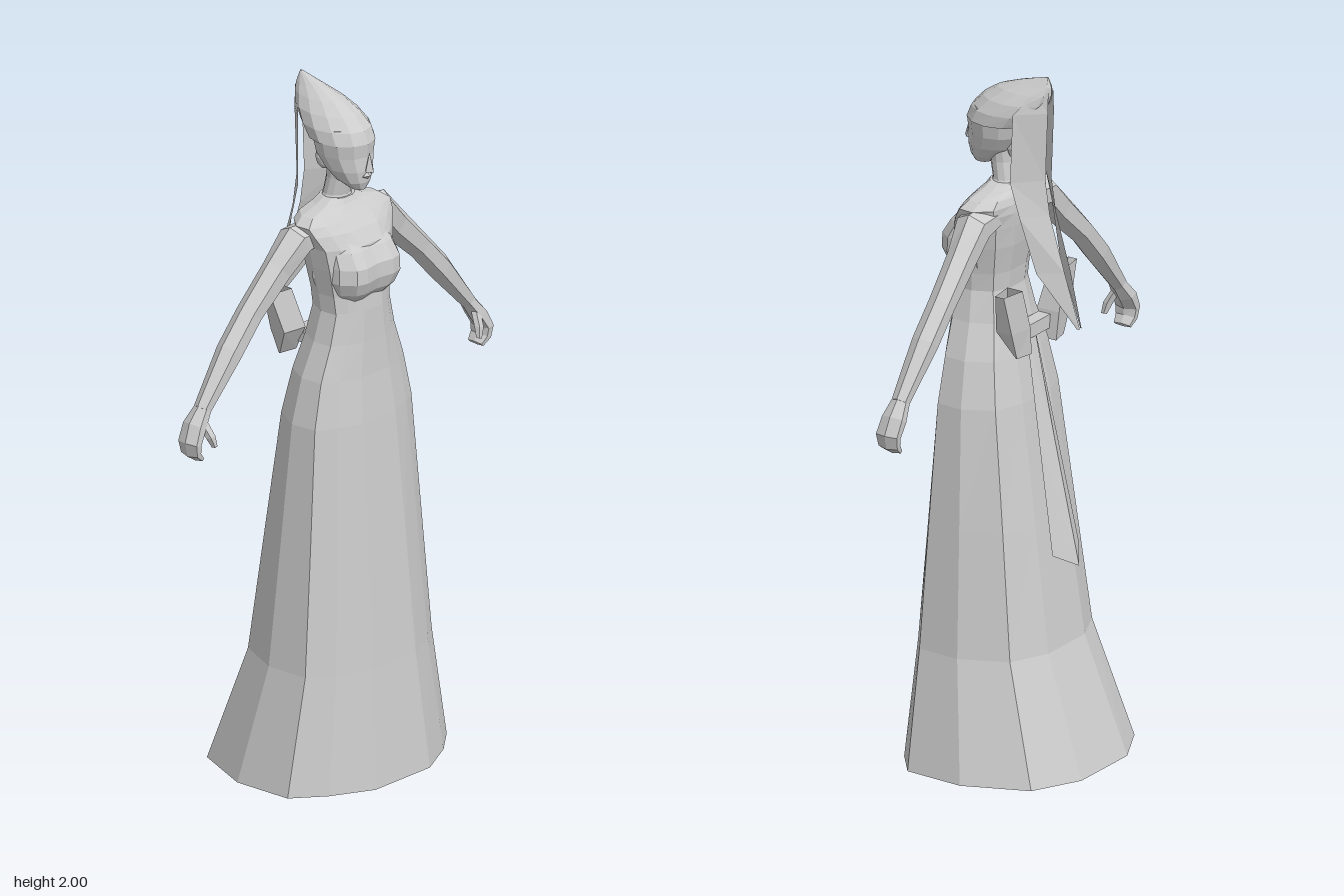
import * as THREE from 'three';

const V = (x, y, z) => new THREE.Vector3(x, y, z);

// Faceted geometry from a list of triangles
function fromTriangles(tris) {
  const g = new THREE.BufferGeometry().setFromPoints(tris.flat());
  g.computeVertexNormals();
  return g;
}

// Skin between rings of equal length; lofts are turned outward by their signed volume
function loft(rings, capStart = true, capEnd = true) {
  const tris = [], n = rings[0].length;
  const center = r => r.reduce((s, p) => s.add(p), V(0, 0, 0)).divideScalar(n);
  const c0 = center(rings[0]), c1 = center(rings[rings.length - 1]);
  const caps = [];
  for (let j = 0; j < n; j++) {
    const k = (j + 1) % n;
    for (let i = 0; i + 1 < rings.length; i++) {
      const a = rings[i], b = rings[i + 1];
      tris.push([a[j], a[k], b[k]], [a[j], b[k], b[j]]);
    }
    const last = rings[rings.length - 1];
    caps.push([[c0, rings[0][k], rings[0][j]], capStart], [[c1, last[j], last[k]], capEnd]);
  }
  let volume = 0;
  for (const t of [...tris, ...caps.map(c => c[0])]) volume += t[0].dot(V(0, 0, 0).crossVectors(t[1], t[2]));
  const all = [...tris, ...caps.filter(c => c[1]).map(c => c[0])];
  return fromTriangles(volume < 0 ? all.map(t => [t[0], t[2], t[1]]) : all);
}

// Outlines seen from above: gown, bust and head
const mirrored = half => [...half, ...half.map(([x, z]) => [-x, z]).reverse()];
const gownRing = mirrored([[0.33, 1], [0.7, 0.78], [0.97, 0.53], [1, -0.1], [0.77, -0.75], [0.34, -1]]);
const bustRing = mirrored([[0.06, 0.9], [0.42, 1], [0.7, 0.88], [0.95, 0.35], [1, -1]]);
const roundRing = Array.from({ length: 12 }, (_, i) => [Math.sin(i * Math.PI / 6), Math.cos(i * Math.PI / 6)]);

// Horizontal sections: [y, half width, front z, back z]
const sections = (rows, ring) => rows.map(([y, w, f, b]) =>
  ring.map(([x, z]) => V(x * w, y, (f + b) / 2 + z * (f - b) / 2)));

// Limb along a path of [x, y, z, radius along ref, radius across], on side s
function limb(path, ref, s, n = 6) {
  const pts = path.map(p => V(p[0] * s, p[1], p[2]));
  return loft(path.map((p, i) => {
    const t = pts[Math.min(i + 1, pts.length - 1)].clone().sub(pts[Math.max(i - 1, 0)]);
    const across = t.cross(ref).normalize();
    return Array.from({ length: n }, (_, j) => {
      const a = (j + 0.5) / n * Math.PI * 2;
      return pts[i].clone().addScaledVector(ref, p[3] * Math.cos(a)).addScaledVector(across, p[4] * Math.sin(a));
    });
  }));
}

// Open cloth panel with rows [y, inner x, inner z, outer x, outer z, outer y], on side s
function panel(rows, s) {
  const tris = [];
  const edge = ([y, xi, zi, xo, zo, yo = y]) => [V(xi * s, y, zi), V(xo * s, yo, zo)];
  for (let i = 0; i + 1 < rows.length; i++) {
    const [a, b] = edge(rows[i]), [c, d] = edge(rows[i + 1]);
    tris.push(...(s > 0 ? [[a, c, b], [b, c, d]] : [[a, b, c], [b, d, c]]));
  }
  return fromTriangles(tris);
}

export function createModel() {
  const model = new THREE.Group();
  const grey = new THREE.MeshStandardMaterial({ color: 0xcccccc, flatShading: true, side: THREE.DoubleSide });
  grey.name = 'pale grey';
  const add = (name, geometry) => {
    const m = new THREE.Mesh(geometry, grey);
    m.name = name;
    model.add(m);
    return m;
  };
  const X = V(1, 0, 0), Z = V(0, 0, 1);

  // Long gown, open at the hem
  add('skirt', loft(sections([
    [0, 0.33, 0.285, -0.285], [0.34, 0.262, 0.253, -0.16], [0.7, 0.23, 0.225, -0.11],
    [1.05, 0.2, 0.196, -0.06], [1.18, 0.17, 0.183, -0.035], [1.28, 0.132, 0.178, -0.012],
    [1.37, 0.11, 0.175, 0.005]], gownRing), false, false));

  // Bodice, bust, shoulders and neck
  add('torso', loft(sections([
    [1.36, 0.11, 0.175, 0.005], [1.42, 0.115, 0.17, 0], [1.5, 0.13, 0.172, -0.015],
    [1.56, 0.14, 0.166, -0.022], [1.6, 0.16, 0.14, -0.024], [1.625, 0.168, 0.118, -0.022],
    [1.645, 0.14, 0.1, -0.018], [1.66, 0.08, 0.088, -0.012], [1.675, 0.05, 0.08, -0.005]], gownRing)));
  add('bust', loft(sections([
    [1.4, 0.085, 0.165, 0.06], [1.428, 0.108, 0.19, 0.06], [1.465, 0.123, 0.204, 0.06],
    [1.508, 0.122, 0.202, 0.06], [1.55, 0.115, 0.176, 0.05], [1.6, 0.09, 0.13, 0.04]], bustRing)));
  add('neck', loft(sections([
    [1.65, 0.06, 0.085, -0.01], [1.68, 0.042, 0.075, 0], [1.73, 0.037, 0.085, 0.01],
    [1.78, 0.04, 0.09, 0.01]], roundRing)));

  // Head and face
  add('head', loft(sections([
    [1.712, 0.02, 0.14, 0.09], [1.735, 0.045, 0.149, 0.05], [1.77, 0.064, 0.153, 0.01],
    [1.81, 0.077, 0.15, -0.02], [1.85, 0.084, 0.154, -0.03], [1.89, 0.08, 0.135, -0.04]], roundRing)));
  add('nose', new THREE.ConeGeometry(0.016, 0.055, 4)).position.set(0, 1.8, 0.16);
  const lips = add('lips', new THREE.OctahedronGeometry(1));
  lips.scale.set(0.02, 0.01, 0.01);
  lips.position.set(0, 1.757, 0.152);
  const bun = add('hairBun', new THREE.IcosahedronGeometry(1, 1));
  bun.scale.set(0.035, 0.04, 0.03);
  bun.position.set(0, 1.775, 0);

  // Pointed hood leaning back
  add('hood', loft(sections([
    [1.85, 0.088, 0.155, -0.045], [1.885, 0.086, 0.142, -0.075], [1.92, 0.071, 0.108, -0.1],
    [1.95, 0.048, 0.062, -0.11], [1.973, 0.026, 0, -0.11], [2, 0.003, -0.09, -0.1]], roundRing)));

  for (const s of [1, -1]) {
    const side = s > 0 ? 'left' : 'right';

    // Arm, hand and thumb
    add(side + 'Arm', limb([
      [0.08, 1.595, 0.04, 0.055, 0.03], [0.165, 1.582, 0.037, 0.052, 0.05], [0.235, 1.511, 0.03, 0.041, 0.046],
      [0.34, 1.412, 0.025, 0.038, 0.038], [0.42, 1.325, 0.026, 0.038, 0.038],
      [0.535, 1.188, 0.03, 0.026, 0.023]], Z, s));
    add(side + 'Hand', limb([
      [0.53, 1.193, 0.03, 0.026, 0.021], [0.565, 1.148, 0.03, 0.038, 0.025], [0.588, 1.105, 0.034, 0.04, 0.02],
      [0.583, 1.075, 0.034, 0.036, 0.016], [0.562, 1.055, 0.034, 0.03, 0.009]], Z, s));
    add(side + 'Thumb', limb([
      [0.55, 1.16, 0.045, 0.013, 0.016], [0.54, 1.12, 0.066, 0.014, 0.014],
      [0.532, 1.09, 0.074, 0.009, 0.008]], Z, s, 5));

    // Half of the veil hanging from the hood
    add(side + 'Veil', panel([
      [1.96, 0.012, -0.108, 0.03, -0.08], [1.9, 0.015, -0.108, 0.08, -0.035], [1.7, 0.015, -0.1, 0.085, -0.03],
      [1.6, 0.015, -0.115, 0.08, -0.058], [1.44, 0.014, -0.163, 0.06, -0.1], [1.28, 0.004, -0.207, 0.008, -0.2]], s));

    // Upright bow loop, open on top and pinched toward the outside, and sash tail
    const loop = [[1.2, 0.06, 0.115, -0.06, -0.085], [1.28, 0.07, 0.145, -0.015, -0.088], [1.4, 0.105, 0.18, -0.035, -0.085]];
    add(side + 'BowLoop', loft(loop.map(([y, x0, x1, z0, z1]) =>
      [V(x0 * s, y, z0), V(x1 * s, y, z0 - 0.01), V(x1 * s, y, z1 + 0.012), V(x0 * s, y, z1)]), true, false));
    add(side + 'SashTail', panel([
      [1.25, 0, -0.055, 0.02, -0.04], [0.95, 0, -0.118, 0.042, -0.096], [0.58, 0, -0.202, 0.065, -0.157, 0.62]], s));

    // Leg and heeled shoe under the gown
    add(side + 'Leg', limb([
      [0.08, 1.1, 0.07, 0.07, 0.07], [0.095, 0.55, 0.05, 0.05, 0.055],
      [0.105, 0.38, 0.025, 0.05, 0.055], [0.12, 0.1, -0.01, 0.034, 0.036]], X, s));
    add(side + 'Shoe', limb([
      [0.12, 0.09, -0.045, 0.036, 0.034], [0.122, 0.085, 0.02, 0.044, 0.042], [0.127, 0.05, 0.1, 0.052, 0.038],
      [0.13, 0.03, 0.15, 0.048, 0.027], [0.132, 0.018, 0.2, 0.026, 0.015]], X, s));
    add(side + 'Heel', new THREE.CylinderGeometry(0.034, 0.026, 0.08, 5)).position.set(s * 0.12, 0.042, -0.035);
  }

  // Knot joining the bow loops
  add('bowKnot', new THREE.BoxGeometry(0.14, 0.04, 0.04)).position.set(0, 1.25, -0.04);

  return model;
}
